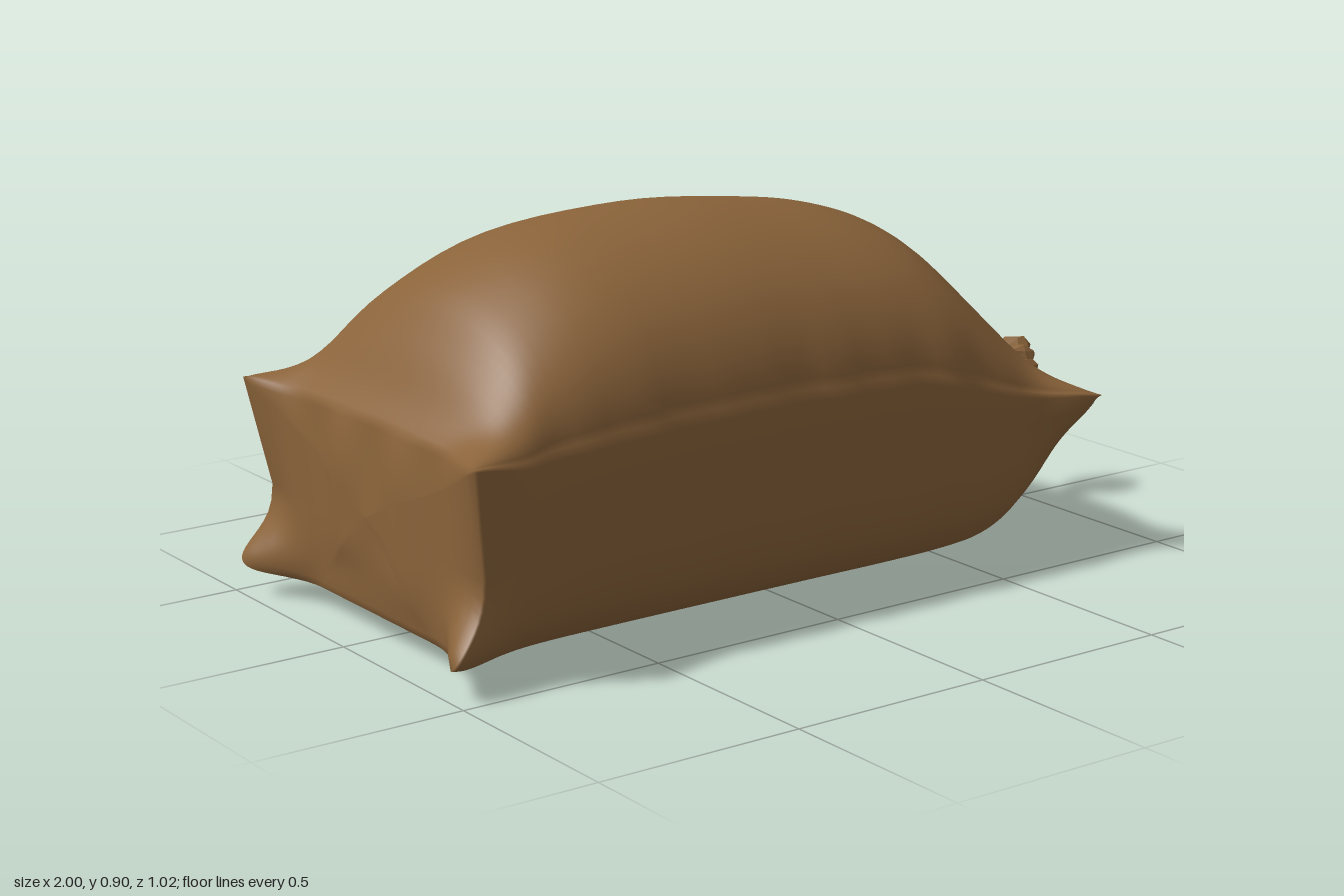
import * as THREE from 'three';

const SEG = 96; // points round each body section

// Skin a list of closed rings (ordered along +x) into a surface
function loft(rows) {
  const n = rows[0].length, pos = [], idx = [];
  rows.forEach(r => r.forEach(p => pos.push(p[0], p[1], p[2])));
  for (let i = 0; i < rows.length - 1; i++) {
    for (let j = 0; j < n; j++) {
      const k = (j + 1) % n, a = i * n + j, b = a + n, c = i * n + k, d = c + n;
      idx.push(a, b, c, b, d, c);
    }
  }
  const g = new THREE.BufferGeometry();
  g.setAttribute('position', new THREE.Float32BufferAttribute(pos, 3));
  g.setIndex(idx);
  g.computeVertexNormals();
  return g;
}

// Sections along the sack: x, top, bottom, seam height, half width, squareness below the seam
const STATIONS = [
  [-0.915, 0.51, 0.06, 0.49, 0.455, 9],
  [-0.87, 0.565, 0.035, 0.49, 0.455, 7],
  [-0.8, 0.68, 0.02, 0.485, 0.45, 5.5],
  [-0.7, 0.79, 0.012, 0.49, 0.447, 4.6],
  [-0.5, 0.88, 0.006, 0.5, 0.445, 4.2],
  [-0.17, 0.905, 0.002, 0.51, 0.445, 4],
  [0.1, 0.883, 0.002, 0.505, 0.445, 4],
  [0.3, 0.85, 0.002, 0.495, 0.445, 4],
  [0.45, 0.79, 0.003, 0.455, 0.445, 3.8],
  [0.57, 0.67, 0.01, 0.425, 0.445, 3.5],
  [0.65, 0.57, 0.04, 0.41, 0.445, 3],
  [0.71, 0.485, 0.11, 0.405, 0.445, 2.6],
  [0.742, 0.44, 0.22, 0.4, 0.445, 2.3],
  [0.755, 0.412, 0.34, 0.4, 0.445, 2],
  [0.755, 0.4, 0.4, 0.4, 0.445, 2],
];

// Pointed corners: from, to, reach (mirrored in z)
const CORNERS = [
  [[0.755, 0.4, 0.455], [0.79, 0.408, 0.508], 0.09],
  [[-0.915, 0.49, 0.46], [-0.96, 0.51, 0.492], 0.08],
  [[-0.915, 0.085, 0.425], [-1.0, 0.075, 0.468], 0.08],
];

function pullCorners(p) {
  const s = p[2] < 0 ? -1 : 1, q = [p[0], p[1], Math.abs(p[2])], out = [...q];
  for (const [from, to, reach] of CORNERS) {
    const d = Math.hypot(q[0] - from[0], q[1] - from[1], q[2] - from[2]);
    const w = Math.exp(-((d / reach) ** 2));
    for (let k = 0; k < 3; k++) out[k] += (to[k] - from[k]) * w;
  }
  out[2] *= s;
  return out;
}

function section(x, top, bottom, seam, width, square) {
  const ring = [];
  const sag = 0.035 * THREE.MathUtils.smoothstep(x, 0.64, 0.75); // tied end droops mid-width
  for (let j = 0; j < SEG; j++) {
    const t = (j / SEG) * Math.PI * 2, c = Math.cos(t), s = Math.sin(t);
    const upper = s >= -1e-9, e = 2 / (upper ? 2 : square);
    let z = Math.sign(c) * Math.abs(c) ** e * width;
    let y = seam + (upper ? (top - seam) : (bottom - seam)) * Math.abs(s) ** e;
    y -= sag * (1 - (z / width) ** 2);
    // gathers near the seam, fading away from it
    const side = c < 0 ? 1.7 : 0;
    const gather = Math.sin(x * 21 + side) * 0.5 + Math.sin(x * 37 + 2 * side) * 0.5;
    z += Math.sign(c) * 0.006 * gather * Math.abs(c) ** 8;
    // raised stitched edge
    if (j === 0 || j === SEG / 2) z += Math.sign(c) * 0.012;
    ring.push([x, y, z]);
  }
  return ring;
}

function sackGeometry() {
  const a = new THREE.CatmullRomCurve3(
    STATIONS.map(s => new THREE.Vector3(s[0], s[1], s[2])), false, 'catmullrom', 0.5);
  const b = new THREE.CatmullRomCurve3(
    STATIONS.map(s => new THREE.Vector3(s[3], s[4], s[5])), false, 'catmullrom', 0.5);
  const rows = [], steps = (STATIONS.length - 1) * 5;
  for (let i = 0; i <= steps; i++) {
    const p = a.getPoint(i / steps), q = b.getPoint(i / steps);
    rows.push(section(p.x, Math.max(p.y, q.x), Math.max(0, Math.min(p.z, q.x)), q.x, q.y, q.z));
  }
  // softly bulging, creased end panel
  const rim = rows[0], cap = [];
  for (let i = 0; i < 14; i++) {
    const f = i / 14;
    cap.push(rim.map(([x, y, z]) => {
      const zz = z * f, yy = 0.29 + (y - 0.29) * f;
      const crease = 0.007 * Math.sin(zz * 26 + yy * 3) * f * (1 - f) * 4;
      return [x - 0.022 * (1 - f * f) + crease, yy, zz];
    }));
  }
  return loft([...cap, ...rows].map(r => r.map(pullCorners)));
}

// Tied neck: x, half height, half depth, ruffle
const NECK = [
  [0.72, 0.06, 0.036, 0.05], [0.77, 0.06, 0.034, 0.08], [0.81, 0.052, 0.03, 0.1],
  [0.84, 0.052, 0.031, 0.1], [0.87, 0.044, 0.028, 0.06], [0.895, 0.062, 0.036, 0.1],
  [0.93, 0.09, 0.052, 0.09], [0.962, 0.104, 0.066, 0.08], [0.985, 0.1, 0.067, 0.08],
  [0.994, 0.084, 0.056, 0.1], [0.982, 0.066, 0.045, 0.08], [0.95, 0.056, 0.038, 0.05],
  [0.92, 0.036, 0.024, 0], [0.91, 0, 0, 0],
];

function neckGeometry() {
  const n = 32;
  const rows = NECK.map(([x, h, d, ruffle], i) => Array.from({ length: n }, (_, j) => {
    const t = (j / n) * Math.PI * 2;
    const r = 1 + ruffle * (Math.sin(j * 2.4 + i * 1.3) * 0.6 + Math.sin(j * 1.37 + i * 2.1) * 0.4);
    const dx = 0.006 * Math.sin(j * 2.9 + i) * (x > 0.95 ? 1 : 0);
    return [Math.min(1, x + dx), 0.322 + h * r * Math.sin(t), d * r * Math.cos(t)];
  }));
  const g = loft(rows).toNonIndexed();
  g.computeVertexNormals(); // crisp folds
  return g;
}

export function createModel() {
  const model = new THREE.Group();
  model.name = 'sack';
  const burlap = new THREE.MeshStandardMaterial({ color: 0x8a633a });
  burlap.name = 'brown burlap';
  const add = (name, geometry) => {
    const mesh = new THREE.Mesh(geometry, burlap);
    mesh.name = name;
    model.add(mesh);
    return mesh;
  };

  add('sackBody', sackGeometry());
  add('gatheredNeck', neckGeometry());

  // Cord round the neck
  const cord = add('neckCord', new THREE.TorusGeometry(0.044, 0.009, 8, 28));
  cord.rotation.y = Math.PI / 2;
  cord.scale.set(0.66, 1, 1);
  cord.position.set(0.87, 0.322, 0);
  return model;
}
